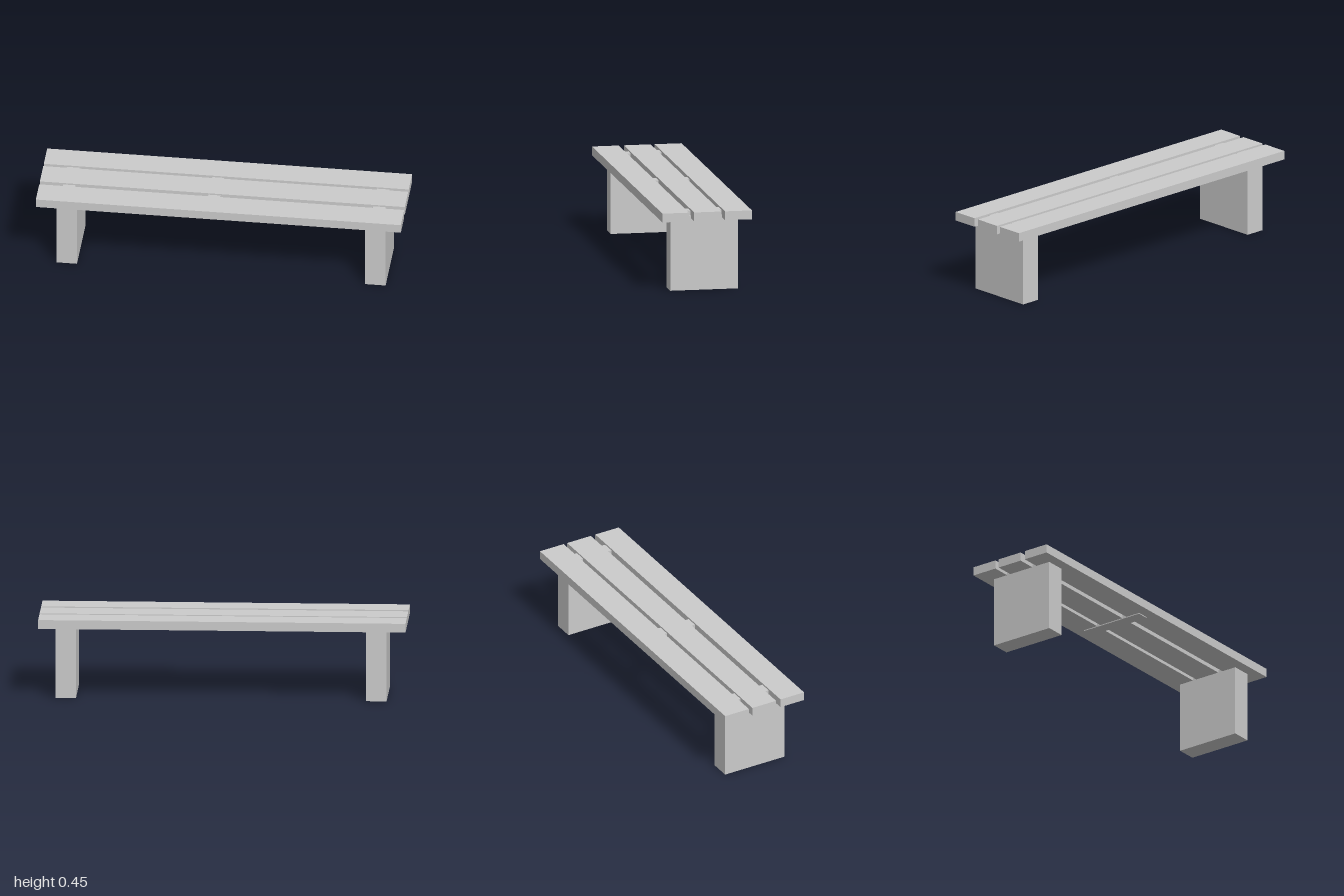
import * as THREE from 'three';

const material = new THREE.MeshStandardMaterial({ color: 0xcccccc, flatShading: true });

// Box given by its lower and upper limits on each axis
function block(name, [x0, x1], [y0, y1], [z0, z1]) {
  const mesh = new THREE.Mesh(new THREE.BoxGeometry(x1 - x0, y1 - y0, z1 - z0), material);
  mesh.name = name;
  mesh.position.set((x0 + x1) / 2, (y0 + y1) / 2, (z0 + z1) / 2);
  return mesh;
}

export function createModel() {
  const bench = new THREE.Group();
  bench.name = 'bench';

  // Three seat planks with narrow gaps
  const planks = { frontPlank: [0.1, 0.248], middlePlank: [-0.077, 0.072], backPlank: [-0.248, -0.099] };
  for (const [name, z] of Object.entries(planks)) {
    bench.add(block(name, [-1, 1], [0.397, 0.446], z));
  }

  // Solid slab legs
  bench.add(block('rightLeg', [-0.894, -0.782], [0, 0.411], [-0.187, 0.187]));
  bench.add(block('leftLeg', [0.797, 0.909], [0, 0.411], [-0.187, 0.187]));

  // Cross battens tying the planks together, over each leg and at mid-span
  const battens = { rightBatten: -0.838, middleBatten: -0.042, leftBatten: 0.86 };
  for (const [name, x] of Object.entries(battens)) {
    bench.add(block(name, [x - 0.034, x + 0.034], [0.392, 0.437], [-0.186, 0.186]));
  }
  return bench;
}
